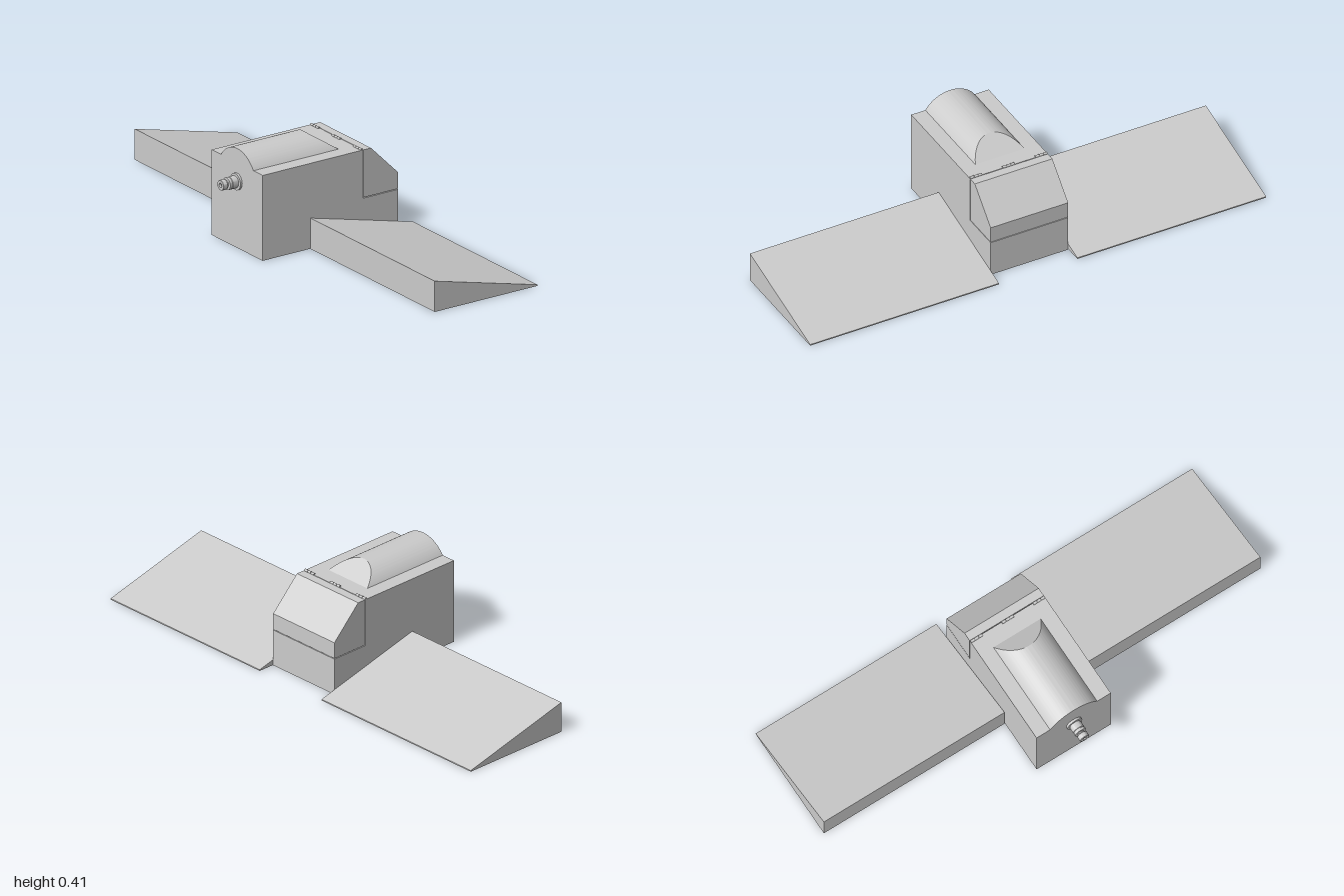
import * as THREE from 'three';
import { toCreasedNormals } from 'three/addons/utils/BufferGeometryUtils.js';

const material = new THREE.MeshStandardMaterial({ color: 0xcccccc });

function add(parent, name, geometry) {
  const mesh = new THREE.Mesh(geometry, material);
  mesh.name = name;
  parent.add(mesh);
  return mesh;
}

// Extrude a side profile of [z, y] points across the width, centred on x = 0
function sideProfile(points, width) {
  const shape = new THREE.Shape(points.map(([z, y]) => new THREE.Vector2(z, y)));
  const geometry = new THREE.ExtrudeGeometry(shape, { depth: width, bevelEnabled: false });
  return geometry.translate(0, 0, -width / 2).rotateY(-Math.PI / 2);
}

export function createModel() {
  const model = new THREE.Group();
  model.name = 'wingedHousing';
  const front = 0.316, back = -0.322, deck = 0.352, width = 0.34;

  // Main housing with a step at the back for the lid
  add(model, 'housing', sideProfile([
    [back, 0], [front, 0], [front, deck], [-0.156, deck], [-0.156, 0.153], [back, 0.153],
  ], width));

  // Sloped rear lid, separated by a fine seam
  add(model, 'lid', sideProfile([
    [-0.159, 0.156], [-0.159, deck], [-0.195, deck], [back, 0.224], [back, 0.156],
  ], width));

  // Arched top cover with its rear end cut on a slope
  const half = 0.108, top = 0.41, rise = top - deck;
  const radius = (half * half + rise * rise) / (2 * rise);
  const angle = Math.asin(half / radius);
  const arch = new THREE.Shape();
  arch.absarc(0, top - radius, radius, Math.PI / 2 - angle, Math.PI / 2 + angle, false);
  arch.closePath();
  const cover = new THREE.ExtrudeGeometry(arch, { depth: 1, bevelEnabled: false, curveSegments: 32 });
  const p = cover.attributes.position;
  for (let i = 0; i < p.count; i++) {
    p.setZ(i, p.getZ(i) > 0.5 ? front : -(top - p.getY(i)) * 0.086 / rise);
  }
  cover.computeVertexNormals();
  add(model, 'archedCover', toCreasedNormals(cover, Math.PI / 6));

  // Wedge-shaped side wings
  for (const side of [1, -1]) {
    const wing = add(model, side > 0 ? 'leftWing' : 'rightWing', sideProfile([
      [-0.392, 0], [0.092, 0], [0.092, 0.127], [-0.392, 0.005],
    ], 0.828));
    wing.position.x = side * 0.586;
  }

  // Three hinges along the lid seam, each with three knuckles and two leaves
  for (const x of [-0.143, 0, 0.143]) {
    const hinge = new THREE.Group();
    hinge.name = 'hinge';
    hinge.position.set(x, 0.3525, -0.1525);
    model.add(hinge);
    for (const k of [-1, 0, 1]) {
      const knuckle = new THREE.CylinderGeometry(0.0055, 0.0055, 0.016, 16);
      add(hinge, 'knuckle', knuckle.rotateZ(Math.PI / 2)).position.x = k * 0.018;
    }
    add(hinge, 'hingePin', new THREE.CylinderGeometry(0.003, 0.003, 0.052, 12).rotateZ(Math.PI / 2));
  }

  // Stepped connector on the front: flange, grooved barrel, neck and open tip
  const profile = [
    [0, 0], [0.034, 0], [0.034, 0.009], [0.023, 0.009], [0.023, 0.012], [0.025, 0.012],
    [0.025, 0.036], [0.023, 0.037], [0.023, 0.039], [0.025, 0.040], [0.025, 0.050],
    [0.014, 0.050], [0.014, 0.054], [0.019, 0.057], [0.021, 0.059],
    [0.021, 0.078], [0.020, 0.079], [0.009, 0.079], [0.009, 0.068], [0, 0.068],
  ].map(([r, y]) => new THREE.Vector2(r, y));
  const lathe = new THREE.LatheGeometry(profile, 32).rotateX(Math.PI / 2);
  add(model, 'connector', toCreasedNormals(lathe, Math.PI / 6)).position.set(0, 0.275, front);

  return model;
}
